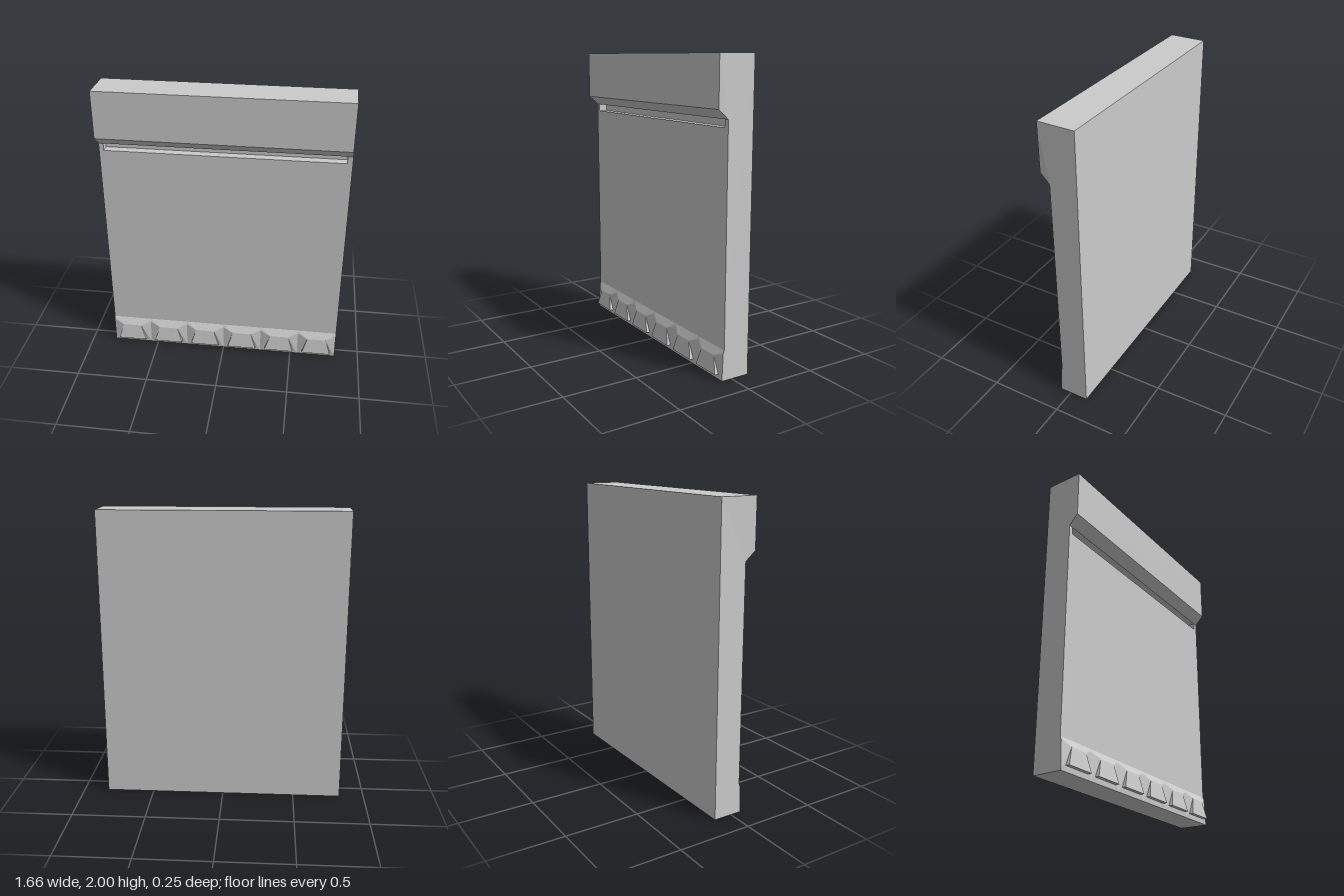
import * as THREE from 'three';

const material = new THREE.MeshStandardMaterial({ color: 0xcccccc, flatShading: true });
const HALF = 0.828;      // half width of the slab
const COUNT = 6;         // wedge blocks along the foot
const PITCH = (2 * HALF) / COUNT;

// Side profile (z, y); the slot is a notch just under the header
function slabProfile(withSlot) {
  const slot = withSlot ? [[0.06, 1.57], [0, 1.57], [0, 1.62]] : [];
  const pts = [[-0.125, 0], [0.075, 0], [0.068, 0.18], [0.06, 0.2], ...slot,
    [0.06, 1.62], [0.125, 1.68], [0.125, 2], [-0.125, 2]];
  return new THREE.Shape(pts.map(([z, y]) => new THREE.Vector2(z, y)));
}

// Extrudes the profile from x0 to x1; the header's front leans slightly to -x
function slabSection(name, x0, x1, withSlot) {
  const geo = new THREE.ExtrudeGeometry(slabProfile(withSlot), { depth: x1 - x0, bevelEnabled: false });
  geo.rotateY(-Math.PI / 2).translate(x1, 0, 0);
  const p = geo.attributes.position;
  for (let i = 0; i < p.count; i++) {
    if (p.getZ(i) > 0.1) p.setX(i, p.getX(i) - 0.006);
  }
  geo.computeVertexNormals();
  const mesh = new THREE.Mesh(geo, material);
  mesh.name = name;
  return mesh;
}

// One foot block: bevel, wedge face, underside, cheek and half a V notch, mirrored
function footBlockGeometry() {
  const h = PITCH / 2;
  const v = {
    topMid: [0, 0.2, 0.06], topEnd: [h, 0.2, 0.06],
    notchTop: [h, 0.18, 0.068], notchBase: [h, 0, 0.075],
    brow: [0.067, 0.15, 0.088], browMid: [0, 0.15, 0.088],
    lip: [0.103, 0.035, 0.105], lipMid: [0, 0.035, 0.105],
    under: [0.103, 0.035, 0.078], underMid: [0, 0.035, 0.078],
    baseMid: [0, 0, 0.075],
  };
  const faces = [
    ['topMid', 'browMid', 'brow', 'topEnd'],
    ['topEnd', 'brow', 'notchTop'],
    ['browMid', 'lipMid', 'lip', 'brow'],
    ['lipMid', 'underMid', 'under', 'lip'],
    ['brow', 'lip', 'under'],
    ['brow', 'under', 'notchBase'],
    ['underMid', 'baseMid', 'notchBase', 'under'],
    ['brow', 'notchBase', 'notchTop'],
  ];
  const out = [];
  for (const side of [1, -1]) {
    for (const face of faces) {
      const c = face.map((n) => [v[n][0] * side, v[n][1], v[n][2]]);
      if (side < 0) c.reverse();
      for (let i = 1; i < c.length - 1; i++) out.push(...c[0], ...c[i], ...c[i + 1]);
    }
  }
  const geo = new THREE.BufferGeometry();
  geo.setAttribute('position', new THREE.Float32BufferAttribute(out, 3));
  geo.computeVertexNormals();
  return geo;
}

export function createModel() {
  const model = new THREE.Group();
  model.name = 'wallPanel';

  // Slab with overhanging header, slotted between its two ends
  model.add(
    slabSection('slabRightEnd', -HALF, -0.797, false),
    slabSection('slabMiddle', -0.797, 0.793, true),
    slabSection('slabLeftEnd', 0.793, HALF, false),
  );

  // Row of wedge blocks along the foot
  const foot = new THREE.Group();
  foot.name = 'footBlocks';
  const geo = footBlockGeometry();
  for (let i = 0; i < COUNT; i++) {
    const block = new THREE.Mesh(geo, material);
    block.name = 'footBlock';
    block.position.x = -HALF + PITCH * (i + 0.5);
    foot.add(block);
  }
  model.add(foot);
  return model;
}
